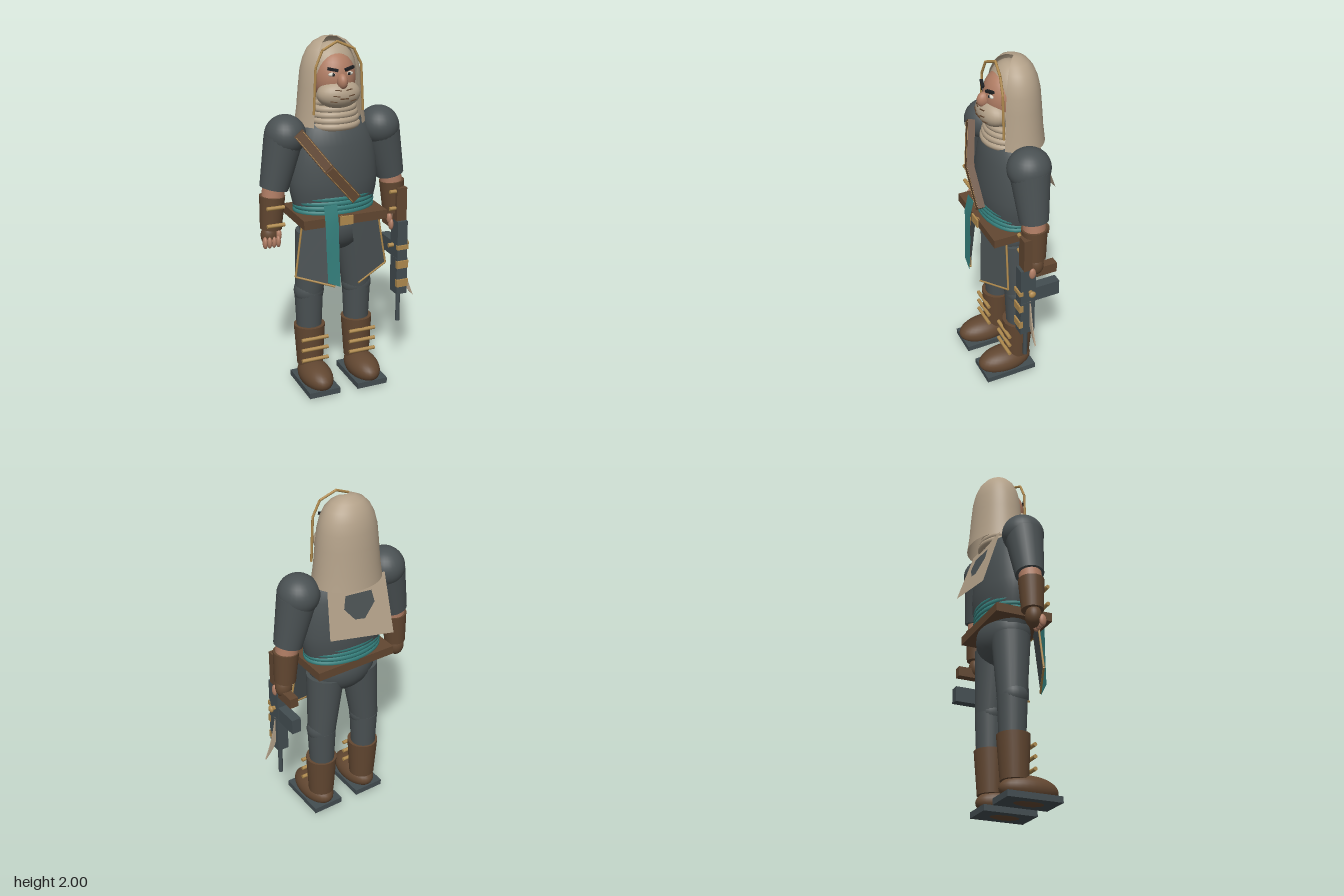
import * as THREE from 'three';

const mat = (name, color, side = THREE.FrontSide) => {
  const m = new THREE.MeshStandardMaterial({ color, side });
  m.name = name;
  return m;
};
const M = {
  cloth: mat('darkCloth', 0x4a5153, THREE.DoubleSide),
  metal: mat('gunmetal', 0x434d51),
  linen: mat('linen', 0xb3a189, THREE.DoubleSide),
  leather: mat('leather', 0x624731),
  gold: mat('brass', 0xaf8a4e),
  teal: mat('tealSash', 0x35807d, THREE.DoubleSide),
  skin: mat('skin', 0xb07d64),
  black: mat('black', 0x1d1e21),
  white: mat('eyeWhite', 0xd8d4c8),
};
const V = (p) => new THREE.Vector3(...p);

function add(parent, name, geo, material, pos = [0, 0, 0], scale = [1, 1, 1], rot = [0, 0, 0]) {
  const m = new THREE.Mesh(geo, material);
  m.name = name;
  m.position.set(...pos);
  m.scale.set(...scale);
  m.rotation.set(...rot);
  parent.add(m);
  return m;
}
const ball = (parent, name, material, pos, radii) =>
  add(parent, name, new THREE.SphereGeometry(1, 28, 18), material, pos, radii);
const box = (parent, name, material, pos, size, rot) =>
  add(parent, name, new THREE.BoxGeometry(...size), material, pos, [1, 1, 1], rot);

// Tapered cylinder between two points
function limb(parent, name, material, a, b, ra, rb, sides = 24) {
  const A = V(a), B = V(b), d = B.clone().sub(A);
  const m = add(parent, name, new THREE.CylinderGeometry(rb, ra, d.length(), sides), material);
  m.position.copy(A).add(B).multiplyScalar(0.5);
  m.quaternion.setFromUnitVectors(new THREE.Vector3(0, 1, 0), d.normalize());
  return m;
}
// Chain of straight rods
function rods(parent, name, material, pts, r) {
  for (let i = 0; i < pts.length - 1; i++) limb(parent, name, material, pts[i], pts[i + 1], r, r, 8);
}
// Horizontal elliptical ring
function ring(parent, name, material, y, z, rx, rz, tube) {
  const g = new THREE.TorusGeometry(1, tube / rx, 10, 40).rotateX(Math.PI / 2);
  add(parent, name, g, material, [0, y, z], [rx, rx, rz]);
}
// Flat cloth strip through pairs of left and right points
function strip(parent, name, material, pairs) {
  const index = [];
  for (let i = 0; i < pairs.length - 1; i++) {
    const a = i * 2;
    index.push(a, a + 2, a + 1, a + 1, a + 2, a + 3);
  }
  const g = new THREE.BufferGeometry();
  g.setAttribute('position', new THREE.Float32BufferAttribute(pairs.flat(2), 3));
  g.setIndex(index);
  g.computeVertexNormals();
  return add(parent, name, g, material);
}
const profile = (pts) => pts.map((p) => new THREE.Vector2(...p));

function buildHead(body) {
  const head = new THREE.Group();
  head.name = 'head';
  body.add(head);
  // Open-fronted hood
  const hood = profile([[0.2, 1.53], [0.187, 1.62], [0.176, 1.74], [0.166, 1.83], [0.15, 1.89],
    [0.125, 1.94], [0.09, 1.975], [0.045, 1.997], [0, 2]]);
  const gap = 0.78;
  add(head, 'hood', new THREE.LatheGeometry(hood, 44, gap, Math.PI * 2 - gap * 2), M.linen, [0, 0, -0.06], [1, 1, 0.8]);
  ball(head, 'hoodLining', M.linen, [0, 1.82, -0.04], [0.135, 0.155, 0.11]);
  rods(head, 'hoodTrim', M.gold, [[-0.142, 1.61, 0.06], [-0.13, 1.86, 0.06], [-0.09, 1.945, 0.055], [0, 1.985, 0.04],
    [0.09, 1.945, 0.055], [0.13, 1.86, 0.06], [0.142, 1.61, 0.06]], 0.007);
  // Face
  ball(head, 'face', M.skin, [0, 1.79, 0], [0.115, 0.145, 0.105]);
  ball(head, 'nose', M.skin, [0, 1.785, 0.108], [0.028, 0.042, 0.037]);
  ball(head, 'beard', M.linen, [0, 1.712, 0.058], [0.122, 0.077, 0.083]);
  for (const s of [-1, 1]) {
    ball(head, 'eye', M.white, [s * 0.047, 1.822, 0.087], [0.023, 0.011, 0.012]);
    ball(head, 'pupil', M.black, [s * 0.045, 1.822, 0.096], [0.008, 0.009, 0.006]);
    box(head, 'brow', M.black, [s * 0.047, 1.849, 0.094], [0.056, 0.014, 0.016], [0, s * 0.25, s * 0.22]);
    for (let i = 0; i < 3; i++) {
      const x = 0.03 + 0.012 * i, y = 1.745 - 0.03 * i;
      const z = 0.058 + 0.083 * Math.sqrt(1 - (x / 0.122) ** 2 - ((y - 1.712) / 0.077) ** 2);
      box(head, 'beardLine', M.leather, [s * x, y, z], [0.036, 0.004, 0.008], [0, s * 0.25, s * 0.12]);
    }
  }
  box(head, 'mouth', M.leather, [0, 1.7, 0.14], [0.045, 0.006, 0.008]);
  // Neck scarf
  for (let i = 0; i < 4; i++) ring(head, 'neckWrap', M.linen, 1.54 + i * 0.03, -0.02, 0.132 - i * 0.007, 0.122 - i * 0.008, 0.02);
}

function buildTorso(body) {
  const torso = profile([[0.2, 0.99], [0.232, 1.09], [0.25, 1.17], [0.256, 1.24], [0.247, 1.34], [0.227, 1.44],
    [0.19, 1.53], [0.12, 1.59], [0, 1.605]]);
  add(body, 'torso', new THREE.LatheGeometry(torso, 40), M.cloth, [0, 0, -0.018], [1, 1, 0.6]);
  ball(body, 'pelvis', M.cloth, [0, 0.97, -0.015], [0.2, 0.16, 0.14]);
  for (let i = 0; i < 4; i++) ring(body, 'waistWrap', M.teal, 1.068 + i * 0.027, -0.017, 0.22, 0.14, 0.0165);
  box(body, 'belt', M.leather, [0, 1.037, 0], [0.49, 0.05, 0.33]);
  box(body, 'buckle', M.gold, [0, 1.037, 0.165], [0.075, 0.05, 0.02]);
  strip(body, 'hangingSash', M.teal, [
    [[-0.127, 1.13, 0.155], [-0.05, 1.13, 0.155]],
    [[-0.127, 1.03, 0.178], [-0.05, 1.03, 0.178]],
    [[-0.122, 0.85, 0.182], [-0.048, 0.85, 0.182]],
    [[-0.118, 0.695, 0.188], [-0.045, 0.66, 0.192]]]);
  // Split skirt with brass edging
  for (const s of [-1, 1]) {
    const top = [[s * 0.225, 1.03, 0.085], [s * 0.035, 1.03, 0.15]];
    const low = [[s * 0.272, 0.72, 0.095], [s * 0.07, 0.66, 0.175]];
    strip(body, 'skirtPanel', M.cloth, s < 0 ? [top, low] : [top.slice().reverse(), low.slice().reverse()]);
    rods(body, 'skirtTrim', M.gold, [top[0], low[0], low[1]], 0.006);
  }
  // Chest strap
  const path = [[-0.235, 1.52, 0.085], [-0.1, 1.335, 0.155], [0.05, 1.16, 0.16]];
  for (let i = 0; i < 2; i++) {
    const a = V(path[i]), b = V(path[i + 1]), seg = new THREE.Group();
    seg.name = 'chestStrap';
    const y = a.clone().sub(b), len = y.length();
    y.normalize();
    const x = new THREE.Vector3().crossVectors(y, new THREE.Vector3(-0.12, 0, 1)).normalize();
    seg.quaternion.setFromRotationMatrix(new THREE.Matrix4().makeBasis(x, y, new THREE.Vector3().crossVectors(x, y)));
    seg.position.copy(a).add(b).multiplyScalar(0.5);
    body.add(seg);
    box(seg, 'strapBand', M.leather, [0, 0, 0], [0.06, len + 0.02, 0.04]);
    for (const s of [-1, 1]) box(seg, 'strapStitch', M.gold, [s * 0.024, 0, 0.02], [0.003, len, 0.003]);
  }
  // Back cloth with a plain dark patch
  const tl = V([0.17, 1.55, -0.13]), tr = V([-0.2, 1.53, -0.125]), bl = V([0.207, 1.28, -0.215]), br = V([-0.198, 1.2, -0.225]);
  strip(body, 'backCloth', M.linen, [[tl.toArray(), tr.toArray()], [bl.toArray(), br.toArray()]]);
  const at = (u, v) => tl.clone().lerp(tr, u).lerp(bl.clone().lerp(br, u), v).add(V([0, -0.001, -0.007])).toArray();
  const patch = [[0.28, 0.22], [0.24, 0.45], [0.4, 0.66], [0.56, 0.67], [0.75, 0.42], [0.72, 0.22]];
  const g = new THREE.BufferGeometry();
  g.setAttribute('position', new THREE.Float32BufferAttribute(patch.flatMap((p) => at(...p)), 3));
  g.setIndex([0, 2, 1, 0, 3, 2, 0, 4, 3, 0, 5, 4]);
  g.computeVertexNormals();
  add(body, 'backPatch', g, M.cloth);
}

function buildArm(body, s) {
  const arm = new THREE.Group();
  arm.name = s > 0 ? 'leftArm' : 'rightArm';
  body.add(arm);
  ball(arm, 'shoulder', M.cloth, [s * 0.275, 1.495, -0.02], [0.113, 0.112, 0.118]);
  limb(arm, 'sleeve', M.cloth, [s * 0.285, 1.48, -0.02], [s * 0.347, 1.21, -0.018], 0.108, 0.079);
  limb(arm, 'forearm', M.skin, [s * 0.345, 1.24, -0.017], [s * 0.36, 1.13, -0.015], 0.062, 0.062);
  limb(arm, 'bracer', M.leather, [s * 0.358, 1.17, -0.015], [s * 0.37, 0.985, -0.015], 0.071, 0.06);
  for (const y of [1.12, 1.02]) {
    limb(arm, 'bracerBar', M.gold, [s * 0.315, y, 0.055], [s * 0.415, y, 0.055], 0.011, 0.011, 10);
  }
  ball(arm, 'glove', M.leather, [s * 0.38, 0.945, -0.015], [0.048, 0.062, 0.044]);
  for (let i = 0; i < 4; i++) ball(arm, 'finger', M.skin, [s * (0.342 + i * 0.025), 0.915, 0.02], [0.014, 0.034, 0.02]);
  ball(arm, 'thumb', M.skin, [s * 0.335, 0.95, 0.012], [0.016, 0.032, 0.018]);
}

function buildLeg(body, s) {
  const leg = new THREE.Group();
  leg.name = s > 0 ? 'leftLeg' : 'rightLeg';
  leg.position.x = s * 0.147;
  body.add(leg);
  limb(leg, 'thigh', M.cloth, [-s * 0.035, 0.93, -0.02], [0, 0.56, -0.03], 0.108, 0.08);
  ball(leg, 'knee', M.cloth, [0, 0.575, -0.028], [0.087, 0.085, 0.08]);
  limb(leg, 'shin', M.cloth, [0, 0.57, -0.03], [0, 0.3, -0.03], 0.082, 0.07);
  limb(leg, 'bootShaft', M.leather, [0, 0.12, -0.02], [0, 0.365, -0.025], 0.075, 0.09);
  for (const y of [0.305, 0.24, 0.175]) {
    limb(leg, 'bootBar', M.gold, [-0.08, y, 0.062], [0.08, y, 0.062], 0.011, 0.011, 10);
  }
  ball(leg, 'foot', M.leather, [0, 0.078, 0.06], [0.09, 0.078, 0.165]);
  box(leg, 'sole', M.metal, [0, 0.028, 0.055], [0.185, 0.034, 0.31]);
}

// Slung firearm, muzzle down
function buildGun(root) {
  const gun = new THREE.Group();
  gun.name = 'slungGun';
  gun.position.x = 0.357;
  root.add(gun);
  box(gun, 'stock', M.leather, [0, 1.04, 0.045], [0.062, 0.2, 0.05]);
  box(gun, 'receiver', M.metal, [0, 0.83, 0.042], [0.062, 0.23, 0.09]);
  box(gun, 'foreEnd', M.metal, [0, 0.61, 0.045], [0.066, 0.22, 0.085]);
  limb(gun, 'barrel', M.metal, [0, 0.52, 0.042], [0, 0.312, 0.042], 0.013, 0.013, 14);
  box(gun, 'grip', M.leather, [0, 0.905, -0.06], [0.05, 0.058, 0.14]);
  box(gun, 'magazine', M.metal, [0, 0.76, -0.075], [0.055, 0.09, 0.145]);
  for (const [y, h] of [[0.79, 0.025], [0.685, 0.045], [0.57, 0.045]]) {
    box(gun, 'brassBand', M.gold, [0, y, 0.085], [0.07, h, 0.024]);
  }
  limb(gun, 'chargingRod', M.gold, [-0.062, 0.79, 0.03], [0.062, 0.79, 0.03], 0.012, 0.012, 12);
  ball(gun, 'rodKnob', M.gold, [0.055, 0.79, 0.03], [0.013, 0.02, 0.02]);
  // Curved blade
  const s = new THREE.Shape();
  s.moveTo(0.03, 0.73);
  s.quadraticCurveTo(0.05, 0.58, 0.105, 0.452);
  s.quadraticCurveTo(0.035, 0.52, 0.03, 0.58);
  s.closePath();
  const blade = new THREE.ExtrudeGeometry(s, { depth: 0.008, bevelEnabled: false, curveSegments: 10 });
  add(gun, 'blade', blade, M.linen, [0, 0, 0.026]);
}

export function createModel() {
  const root = new THREE.Group();
  root.name = 'hoodedWarrior';
  const body = new THREE.Group();
  body.name = 'body';
  body.position.x = -0.028;
  root.add(body);
  buildHead(body);
  buildTorso(body);
  for (const s of [-1, 1]) {
    buildArm(body, s);
    buildLeg(body, s);
  }
  buildGun(root);
  return root;
}
